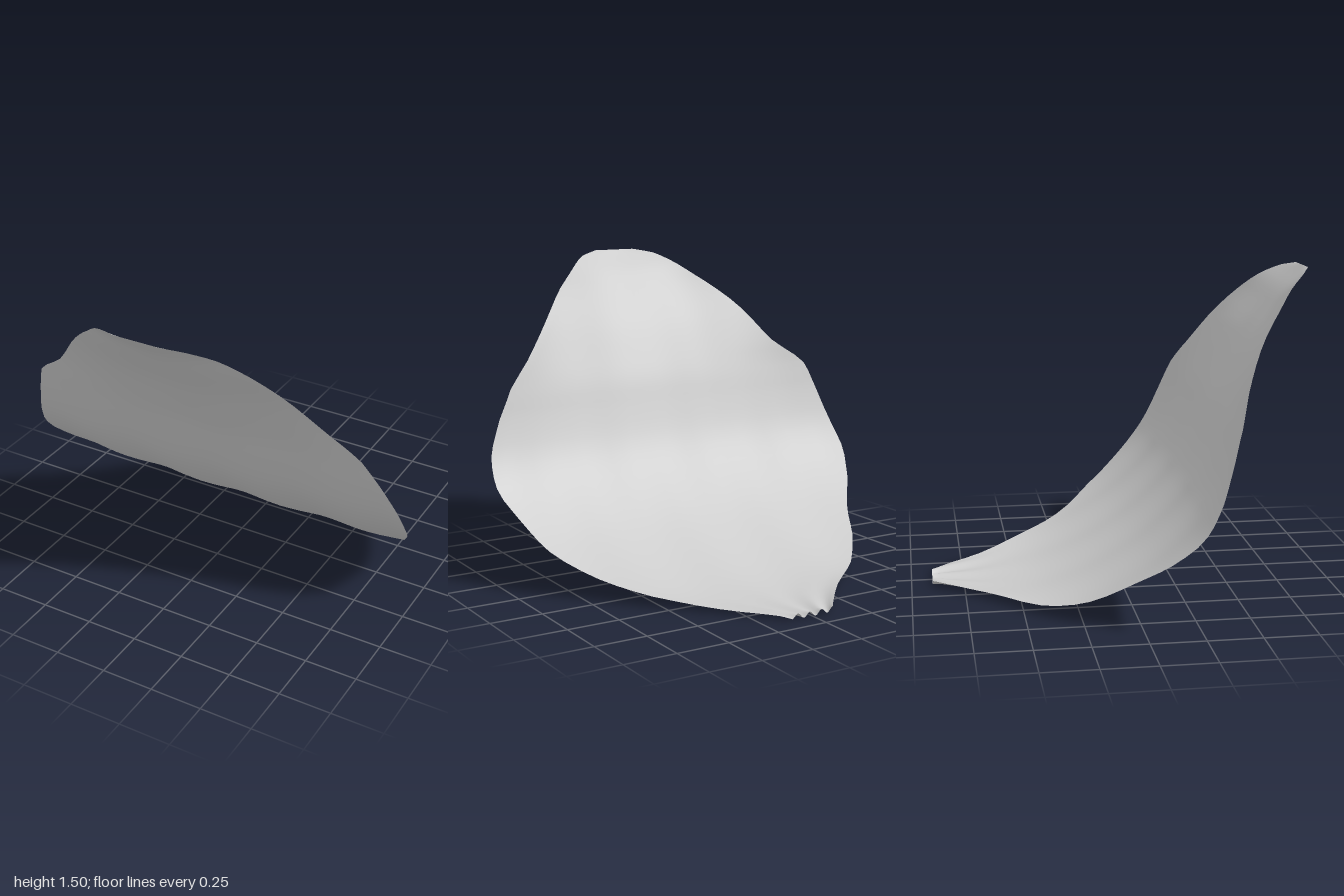
import * as THREE from 'three';

// Cross-sections from the narrow base to the tip:
// z, y at mid-line, left edge x, right edge x, lift of the edges along the normal
const SECTIONS = [
  [-0.90, 0.02, -0.11, 0.11, 0.005],
  [-0.86, 0.02, -0.14, 0.15, 0.01],
  [-0.65, 0.018, -0.32, 0.33, 0.015],
  [-0.42, 0.045, -0.57, 0.54, 0.01],
  [-0.22, 0.11, -0.73, 0.70, 0.005],
  [-0.03, 0.21, -0.83, 0.86, 0.01],
  [0.12, 0.32, -0.94, 0.93, 0.015],
  [0.26, 0.46, -1.00, 0.99, 0.02],
  [0.35, 0.59, -0.97, 0.98, 0.03],
  [0.42, 0.75, -0.92, 0.91, 0.04],
  [0.47, 0.88, -0.87, 0.83, 0.05],
  [0.53, 1.00, -0.71, 0.71, 0.06],
  [0.62, 1.16, -0.57, 0.57, 0.06],
  [0.73, 1.31, -0.41, 0.43, 0.05],
  [0.80, 1.40, -0.30, 0.32, 0.04],
  [0.87, 1.47, -0.20, 0.22, 0.02],
  [0.905, 1.505, -0.10, 0.12, 0.0],
];

const ROWS = 48;
const COLS = 28;

function petalGeometry() {
  const spine = new THREE.CatmullRomCurve3(SECTIONS.map(([z, y]) => new THREE.Vector3(0, y, z)));
  const edges = new THREE.CatmullRomCurve3(SECTIONS.map(([, , l, r, lift]) => new THREE.Vector3(l, r, lift)));
  const positions = [];
  const indices = [];

  for (let i = 0; i <= ROWS; i++) {
    const t = i / ROWS;
    const mid = spine.getPoint(t);
    const tangent = spine.getTangent(t);
    const { x: left, y: right, z: lift } = edges.getPoint(t);
    // Pleats gather at the base and soft ripples run to the tip
    const pleat = 0.012 * Math.max(0, 1 - t * 6);
    const ripple = 0.007 * Math.sin(Math.PI * t);

    for (let j = 0; j <= COLS; j++) {
      const u = (j / COLS) * 2 - 1;
      const x = THREE.MathUtils.lerp(left, right, j / COLS);
      const offset = lift * u * u + pleat * Math.sin(u * 11) + ripple * Math.sin(x * 14 + t * 3);
      // Normal of the mid-line points up and back
      positions.push(x, Math.max(0, mid.y + tangent.z * offset), mid.z - tangent.y * offset);

      if (i < ROWS && j < COLS) {
        const a = i * (COLS + 1) + j;
        const b = a + COLS + 1;
        indices.push(a, b, a + 1, b, b + 1, a + 1);
      }
    }
  }

  const geometry = new THREE.BufferGeometry();
  geometry.setAttribute('position', new THREE.Float32BufferAttribute(positions, 3));
  geometry.setIndex(indices);
  geometry.computeVertexNormals();
  return geometry;
}

export function createModel() {
  const group = new THREE.Group();
  group.name = 'flowerPetal';

  // Thin curved blade, seen from both sides
  const material = new THREE.MeshStandardMaterial({ color: 0xcccccc, side: THREE.DoubleSide });
  const petal = new THREE.Mesh(petalGeometry(), material);
  petal.name = 'petal';
  group.add(petal);
  return group;
}
